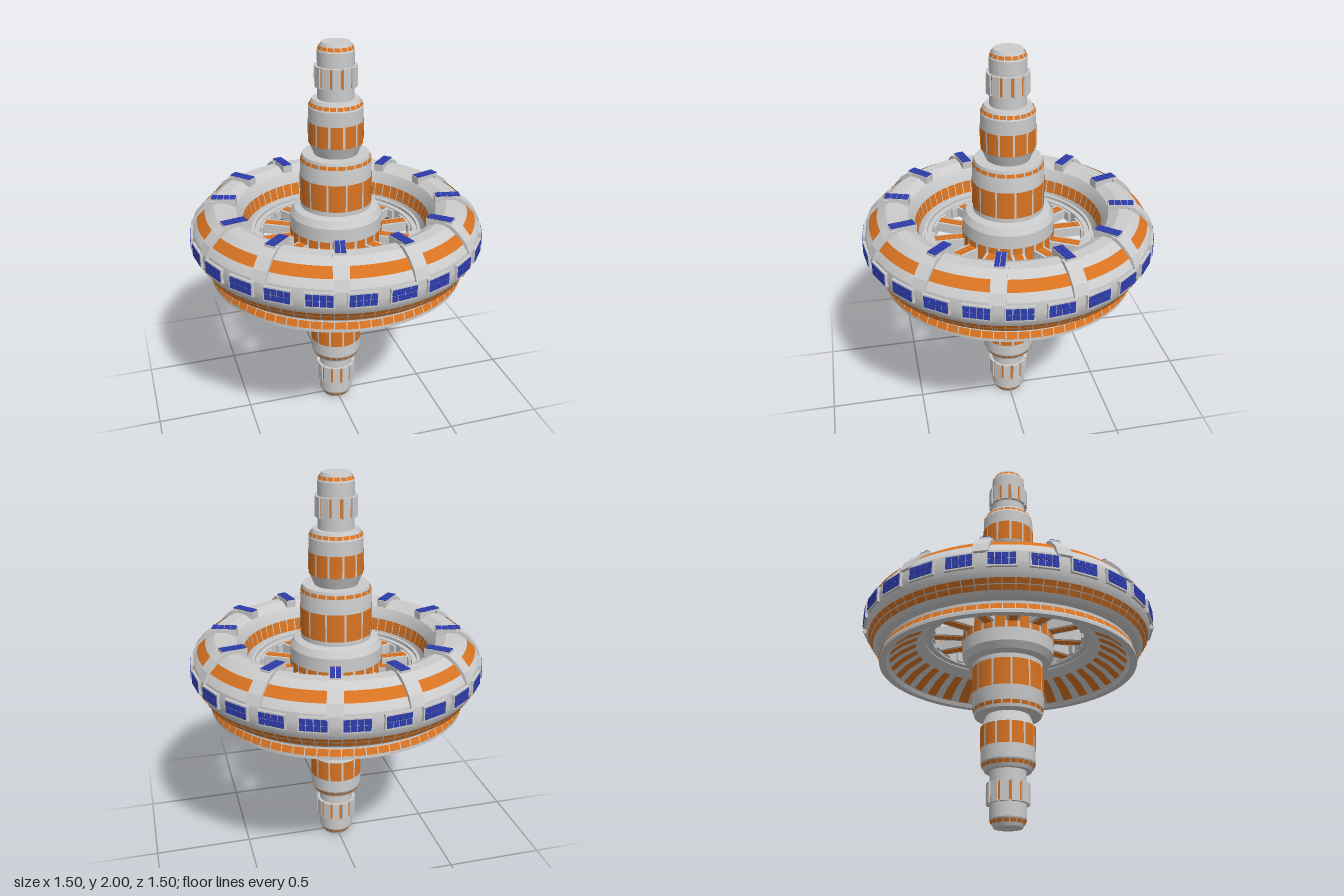
import * as THREE from 'three';
import { mergeGeometries, toCreasedNormals } from 'three/addons/utils/BufferGeometryUtils.js';

const TAU = Math.PI * 2;
const grey = new THREE.MeshStandardMaterial({ color: 0xcccccc });
const orange = new THREE.MeshStandardMaterial({ color: 0xd87322, side: THREE.DoubleSide });
const blue = new THREE.MeshStandardMaterial({ color: 0x2f3dad });

const vecs = (pts) => pts.map(([r, y]) => new THREE.Vector2(r, y));

function add(group, name, geometry, material) {
  const mesh = new THREE.Mesh(geometry, material);
  mesh.name = name;
  group.add(mesh);
}

// Full solid of revolution with crisp profile edges
const turned = (pts) => toCreasedNormals(new THREE.LatheGeometry(vecs(pts), 96), 0.35);

// Evenly spaced curved panels following a profile; fill is the covered share
function panels(pts, count, fill, offset = 0) {
  const step = TAU / count;
  const segs = Math.max(1, Math.ceil(step * fill / 0.06));
  const parts = [];
  for (let i = 0; i < count; i++) {
    const start = offset + i * step - (step * fill) / 2;
    parts.push(new THREE.LatheGeometry(vecs(pts), segs, start, step * fill));
  }
  return mergeGeometries(parts);
}

// Copies of a geometry, built towards +z, spread around the axis
function around(geometry, count, offset = 0) {
  const parts = [];
  for (let i = 0; i < count; i++) {
    parts.push(geometry.clone().rotateY(offset + (i * TAU) / count));
  }
  return mergeGeometries(parts);
}

const box = (w, h, d, x, y, z) => new THREE.BoxGeometry(w, h, d).translate(x, y, z);

// Flat sheet of solar cells lying in xy, facing +z
function cells(w, h, cols, rows, gap) {
  const parts = [];
  const cw = w / cols, ch = h / rows;
  for (let i = 0; i < cols; i++) {
    for (let j = 0; j < rows; j++) {
      parts.push(box(cw - gap, ch - gap, 0.005, (i + 0.5) * cw - w / 2, (j + 0.5) * ch - h / 2, 0));
    }
  }
  return mergeGeometries(parts);
}

function buildSpine() {
  const spine = new THREE.Group();
  spine.name = 'spine';

  // Upper half of the stepped column, mirrored about y = 1
  const upper = [
    [0.235, 1.0], [0.235, 1.13], [0.215, 1.165], [0.18, 1.175], [0.18, 1.40],
    [0.168, 1.45], [0.11, 1.45], [0.135, 1.51], [0.135, 1.69], [0.115, 1.73],
    [0.09, 1.73], [0.09, 1.96], [0.07, 2.0], [0, 2.0],
  ];
  const mirrorY = (pts) => pts.map(([r, y]) => [r, 2 - y]).reverse();
  add(spine, 'column', turned([...mirrorY(upper.slice(1)), ...upper.slice(1)]), grey);

  // Orange bands: [profile, panel count, fill]
  const bands = [
    [[[0.183, 1.2], [0.183, 1.34]], 12, 0.9],
    [[[0.179, 1.418], [0.174, 1.436]], 24, 0.85],
    [[[0.138, 1.51], [0.138, 1.62]], 12, 0.85],
    [[[0.134, 1.698], [0.126, 1.715]], 24, 0.85],
    [[[0.099, 1.795], [0.099, 1.885]], 12, 1],
    [[[0.089, 1.968], [0.081, 1.984]], 16, 0.85],
  ];
  const collar = [[0.088, 1.79], [0.106, 1.79], [0.106, 1.89], [0.088, 1.89]];
  const collarBlock = box(0.04, 0.1, 0.024, 0, 0, 0.093);
  for (const [side, flip] of [['upper', (p) => p], ['lower', mirrorY]]) {
    const parts = bands.map(([p, n, f]) => panels(flip(p), n, f, TAU / n / 2));
    add(spine, side + 'ColumnPanels', mergeGeometries(parts), orange);
    const y = flip(collar).reduce((s, p) => s + p[1], 0) / 4;
    add(spine, side + 'CollarBlocks', around(collarBlock.clone().translate(0, y, 0), 12, TAU / 24), grey);
    add(spine, side + 'CollarCore', turned(flip(collar.map(([r, h]) => [Math.min(r, 0.097), h]))), grey);
  }

  // Panels around the central hub
  add(spine, 'hubPanels', panels([[0.238, 0.94], [0.238, 1.06]], 24, 0.8), orange);
  return spine;
}

function buildRing() {
  const ring = new THREE.Group();
  ring.name = 'habitatRing';

  // Rounded outer shell, flared bottom lip and open bowl beneath
  const section = [
    [0.62, 0.81], [0.655, 0.81], [0.655, 0.825], [0.64, 0.86], [0.64, 0.875],
    [0.67, 0.885], [0.685, 0.9], [0.715, 0.95], [0.73, 0.98], [0.738, 1.03],
    [0.73, 1.08], [0.705, 1.12], [0.66, 1.165], [0.62, 1.19], [0.56, 1.19],
    [0.51, 1.165], [0.48, 1.115], [0.465, 1.04], [0.45, 1.0], [0.43, 1.0],
    [0.43, 0.96], [0.47, 0.93], [0.55, 0.885], [0.61, 0.83], [0.62, 0.81],
  ];
  add(ring, 'ringShell', turned(section), grey);

  // Orange strips on the outside, the lip, the inner wall and the bowl
  add(ring, 'upperDeckPanels', panels([[0.709, 1.122], [0.667, 1.164]], 12, 0.8), orange);
  add(ring, 'lowerBandPanels', mergeGeometries([
    panels([[0.690, 0.901], [0.703, 0.923]], 72, 0.92),
    panels([[0.705, 0.927], [0.719, 0.949]], 72, 0.92),
  ]), orange);
  add(ring, 'lipPanels', panels([[0.658, 0.828], [0.644, 0.859]], 72, 0.92), orange);
  add(ring, 'innerWallPanels', panels([[0.477, 1.11], [0.463, 1.045]], 60, 0.9), orange);
  add(ring, 'bowlPanels', panels([[0.604, 0.831], [0.548, 0.882], [0.475, 0.923]], 36, 0.55), orange);

  // Solar panels around the rim
  const tilt = TAU / 48;
  add(ring, 'rimPanelFrames', around(box(0.14, 0.075, 0.02, 0, 1.03, 0.734), 24, tilt), grey);
  add(ring, 'rimSolarPanels', around(cells(0.128, 0.062, 4, 2, 0.003).translate(0, 1.03, 0.745), 24, tilt), blue);

  // Brackets arching over the upper deck
  const arch = new THREE.Shape(vecs([
    [0.72, 1.065], [0.742, 1.075], [0.72, 1.125], [0.675, 1.175], [0.635, 1.203],
    [0.61, 1.205], [0.61, 1.17], [0.65, 1.15], [0.69, 1.11],
  ]));
  const width = 0.075;
  const bracket = new THREE.ExtrudeGeometry(arch, { depth: width, bevelEnabled: false })
    .translate(0, 0, -width / 2).rotateY(-Math.PI / 2);
  add(ring, 'brackets', around(bracket, 12, TAU / 24), grey);

  // Small solar panels on top of the brackets
  const lay = (g) => g.rotateX(-Math.PI / 2 - 0.03);
  add(ring, 'deckPanelFrames', around(lay(box(0.054, 0.13, 0.04, 0, 0, 0)).translate(0, 1.19, 0.572), 12, TAU / 24), grey);
  add(ring, 'deckSolarPanels', around(lay(cells(0.052, 0.126, 2, 4, 0.003)).translate(0, 1.212, 0.572), 12, TAU / 24), blue);
  return ring;
}

function buildWheel() {
  const wheel = new THREE.Group();
  wheel.name = 'spokeWheel';

  // Rim joining the spokes to the ring, with steps on its top
  add(wheel, 'wheelRim', turned([
    [0.395, 0.965], [0.435, 0.965], [0.435, 1.045], [0.42, 1.045], [0.42, 1.03], [0.395, 1.03], [0.395, 0.965],
  ]), grey);
  add(wheel, 'rimTeeth', around(box(0.045, 0.05, 0.02, 0, 0.9975, 0.391), 24, TAU / 48), grey);

  // Spokes with inset panels on both faces
  add(wheel, 'spokes', around(box(0.07, 0.05, 0.185, 0, 1, 0.31), 12), grey);
  const faces = [];
  for (const y of [0.974, 1.026]) {
    for (let i = 0; i < 5; i++) faces.push(box(0.042, 0.004, 0.027, 0, y, 0.252 + i * 0.029));
  }
  add(wheel, 'spokePanels', around(mergeGeometries(faces), 12), orange);
  return wheel;
}

export function createModel() {
  const model = new THREE.Group();
  model.name = 'spaceStation';
  model.add(buildSpine(), buildRing(), buildWheel());
  return model;
}
